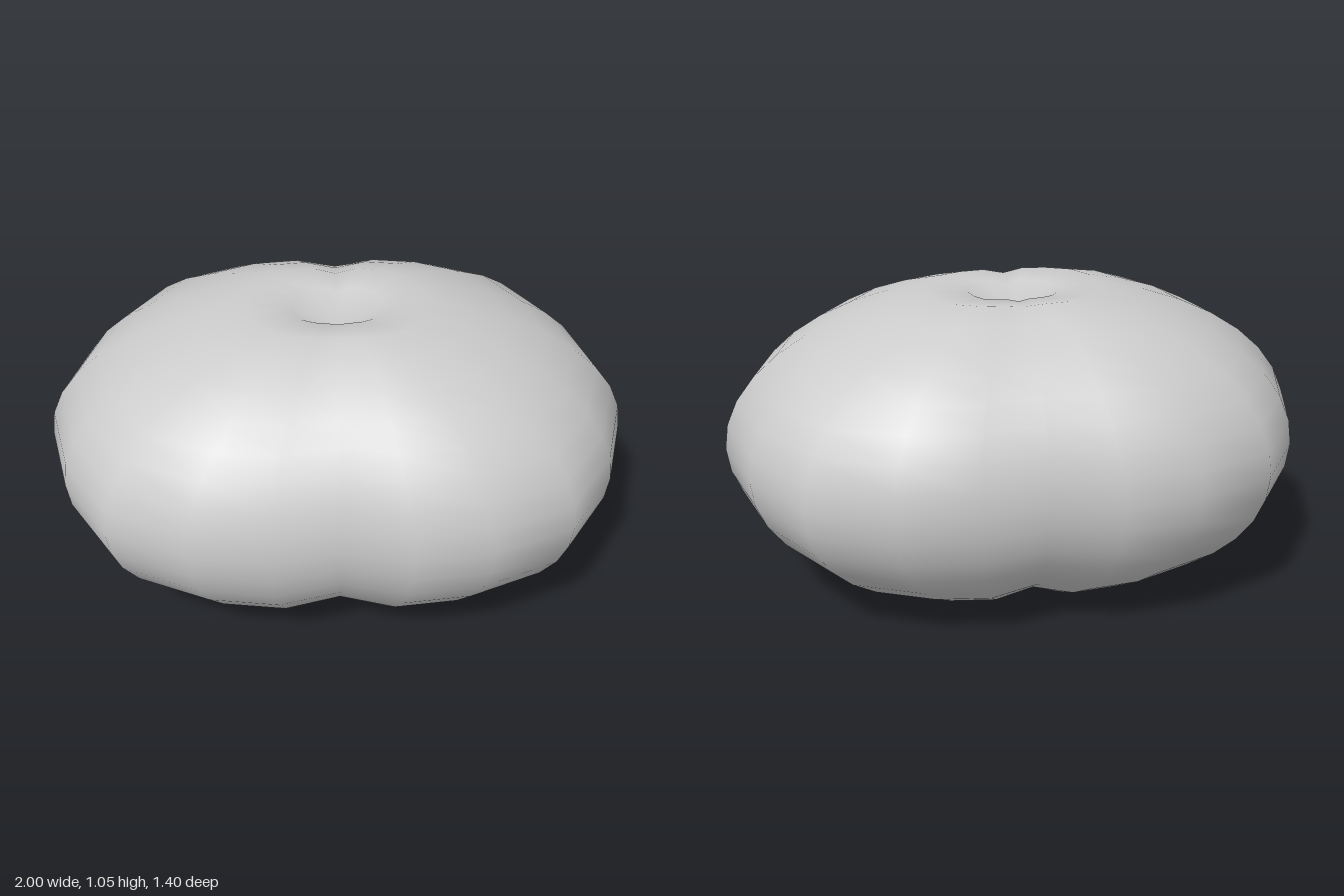
import * as THREE from 'three';
import { mergeVertices } from 'three/addons/utils/BufferGeometryUtils.js';

const SEGMENTS = 20; // 18 degrees around, 9 degrees per row
// outline radius for each 18 degree step from the long end to the side groove
const OUTLINE = [1, 0.965, 0.934, 0.826, 0.737, 0.652];

export function createModel() {
  const group = new THREE.Group();
  const geometry = new THREE.SphereGeometry(1, SEGMENTS, SEGMENTS);
  const pos = geometry.attributes.position;

  for (let i = 0; i < pos.count; i++) {
    const x = pos.getX(i), y = pos.getY(i), z = pos.getZ(i);
    const row = Math.round(Math.acos(THREE.MathUtils.clamp(y, -1, 1)) / (Math.PI / SEGMENTS));
    const fromPole = Math.min(row, SEGMENTS - row);
    const step = Math.round(Math.atan2(Math.abs(z), Math.abs(x)) / (Math.PI / 10));
    const radius = OUTLINE[step];

    // squashed height, with a dimple sunk into each pole
    let h = 0.552 * Math.abs(y);
    if (fromPole === 1) h = 0.512;
    if (fromPole === 0) h = 0.43;
    // the groove between the two lobes also runs over the top and bottom
    if (step === 5 && fromPole > 0) h *= y > 0 ? 0.98 : 0.955;

    pos.setXYZ(i, x * radius, 0.525 + Math.sign(y) * h, z * radius);
  }

  // weld the seam so the surface shades smoothly all round
  geometry.deleteAttribute('uv');
  geometry.deleteAttribute('normal');
  const body = mergeVertices(geometry, 1e-4);
  body.computeVertexNormals();

  const mesh = new THREE.Mesh(body, new THREE.MeshStandardMaterial({ color: 0xcccccc }));
  mesh.name = 'twoLobedBody';
  group.add(mesh);
  return group;
}
